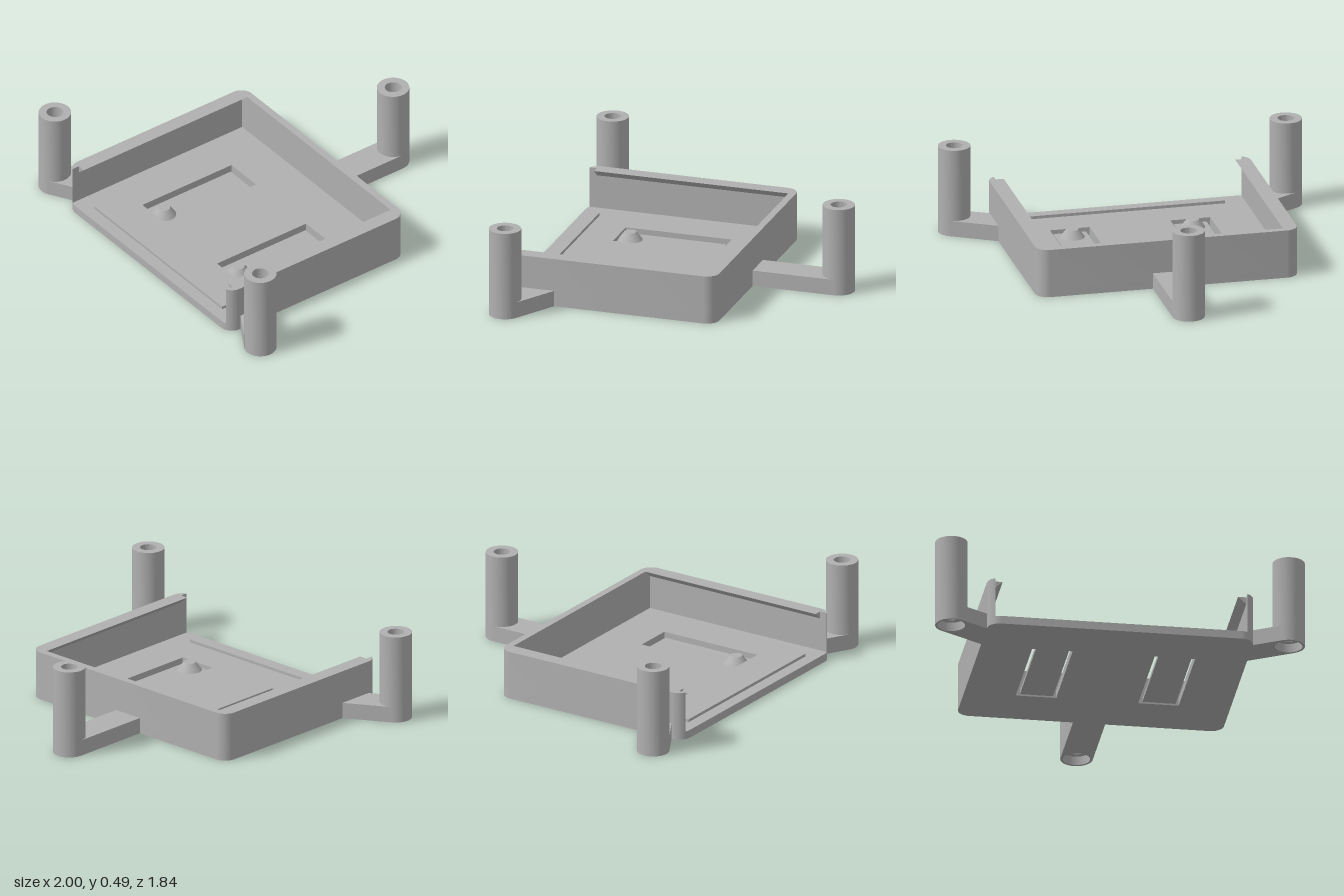
import * as THREE from 'three';
import { toCreasedNormals } from 'three/addons/utils/BufferGeometryUtils.js';

const W = 0.723, D = 0.595, R = 0.07;      // tray half width, half depth, corner radius
const FLOOR = 0.045, RIM = 0.27;           // floor and wall heights
const IN_X = 0.685, IN_BACK = -0.555;      // inner faces of the walls
const POST_R = 0.0875;

// Extrude an (x, z) outline from y0 up to y1
function slab(shape, y0, y1) {
  const g = new THREE.ExtrudeGeometry(shape, { depth: y1 - y0, bevelEnabled: false, curveSegments: 12 });
  g.rotateX(Math.PI / 2).translate(0, y1, 0);
  return toCreasedNormals(g, 0.5);
}

function polygon(points) {
  return new THREE.Shape(points.map(([x, y]) => new THREE.Vector2(x, y)));
}

export function createModel() {
  const model = new THREE.Group();
  model.name = 'mountingTray';
  const grey = new THREE.MeshStandardMaterial({ color: 0xb0b0b0 });
  grey.name = 'grey plastic';

  // Everything is built square, then turned slightly
  const tray = new THREE.Group();
  tray.name = 'tray';
  tray.position.set(0.05, 0, 0.215);
  tray.rotation.y = THREE.MathUtils.degToRad(-5.5);
  model.add(tray);

  const add = (name, geometry) => {
    const mesh = new THREE.Mesh(geometry, grey);
    mesh.name = name;
    tray.add(mesh);
    return mesh;
  };

  const cx = W - R, cz = D - R, PI = Math.PI;

  // Floor with two slots
  const floor = new THREE.Shape();
  floor.absarc(cx, cz, R, 0, PI / 2);
  floor.absarc(-cx, cz, R, PI / 2, PI);
  floor.absarc(-cx, -cz, R, PI, 1.5 * PI);
  floor.absarc(cx, -cz, R, 1.5 * PI, 2 * PI);
  for (const s of [-1, 1]) {
    const x0 = s * 0.333 - 0.11, x1 = s * 0.333 + 0.11;
    floor.holes.push(polygon([[x0, -0.3], [x0, 0.3], [x1, 0.3], [x1, -0.3]]));
  }
  add('floor', slab(floor, 0, FLOOR));

  // Three-sided wall, open at the front
  const a0 = PI - Math.acos((IN_X - cx) / R);
  const wall = new THREE.Shape();
  wall.absarc(-cx, cz, R, a0, PI);
  wall.absarc(-cx, -cz, R, PI, 1.5 * PI);
  wall.absarc(cx, -cz, R, 1.5 * PI, 2 * PI);
  wall.absarc(cx, cz, R, 0, PI - a0);
  wall.lineTo(IN_X, IN_BACK);
  wall.lineTo(-IN_X, IN_BACK);
  wall.closePath();
  add('wall', slab(wall, FLOOR, RIM));

  // Low retaining ridge along the open front
  const ridge = new THREE.BoxGeometry(1.14, 0.017, 0.035);
  add('frontRidge', ridge).position.set(0, FLOOR + 0.0075, 0.51);

  for (const s of [-1, 1]) {
    const side = s > 0 ? 'left' : 'right';

    // Chamfered lip under the rim of each side wall
    const lip = polygon([[s * IN_X, 0.23], [s * 0.64, RIM], [s * IN_X, RIM]]);
    const lipGeometry = new THREE.ExtrudeGeometry(lip, { depth: 0.545 - IN_BACK, bevelEnabled: false });
    add(side + 'Lip', lipGeometry).position.z = IN_BACK;

    // Thin spring tongue, joined to the floor at its front end, with a peg
    add(side + 'Tongue', new THREE.BoxGeometry(0.18, 0.022, 0.585)).position.set(s * 0.333, 0.011, 0.0125);
    const peg = new THREE.CylinderGeometry(0.033, 0.068, 0.047, 32);
    add(side + 'Peg', peg).position.set(s * 0.333, 0.0435, 0.238);
  }

  // Hollow posts, recessed underneath, each on a flat arm
  const profile = [[0.074, 0], [POST_R, 0], [POST_R, 0.49], [0.045, 0.49], [0.045, 0.05], [0.074, 0.05], [0.074, 0]]
    .map(([x, y]) => new THREE.Vector2(x, y));
  const postGeometry = toCreasedNormals(new THREE.LatheGeometry(profile, 40), 0.5);
  const t = Math.tan(PI / 6);
  const supports = [
    { name: 'right', x: -0.917, z: 0.532, turn: PI / 6, length: 0.245, slant: -t },
    { name: 'left', x: 0.917, z: 0.532, turn: PI * 5 / 6, length: 0.245, slant: t },
    { name: 'back', x: 0, z: -1.055, turn: -PI / 2, length: 0.48, slant: 0 },
  ];
  for (const { name, x, z, turn, length, slant } of supports) {
    add(name + 'Post', postGeometry).position.set(x, 0, z);
    // Arm outline wraps the post at one end and is cut flush with the wall at the other
    const arm = new THREE.Shape();
    arm.moveTo(0, -POST_R);
    arm.lineTo(length - slant * POST_R, -POST_R);
    arm.lineTo(length + slant * POST_R, POST_R);
    arm.lineTo(0, POST_R);
    arm.absarc(0, 0, 0.08, PI / 2, -PI / 2, true);
    arm.closePath();
    const mesh = add(name + 'Arm', slab(arm, 0, 0.088));
    mesh.position.set(x, 0, z);
    mesh.rotation.y = turn;
  }

  return model;
}
